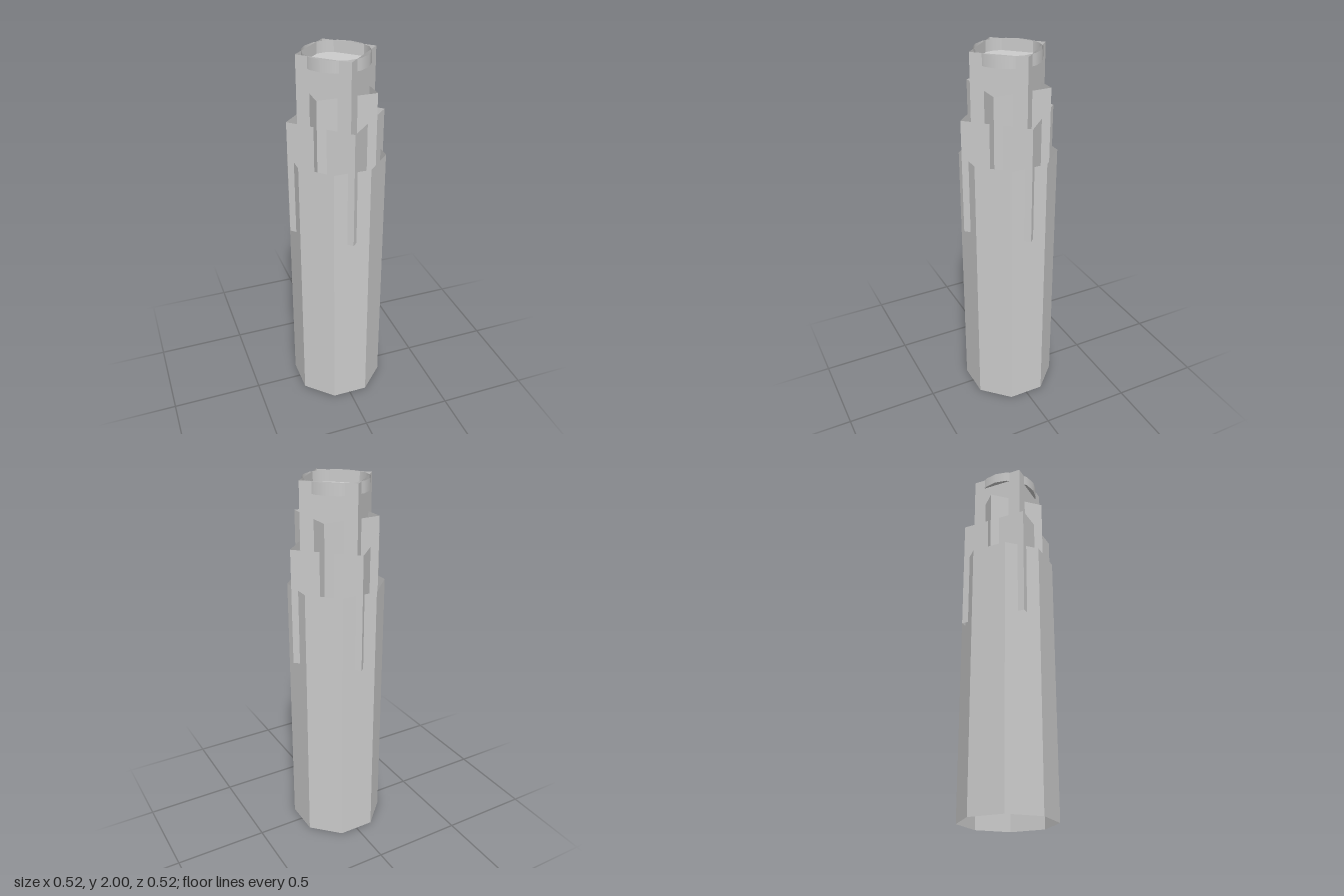
import * as THREE from 'three';

// Nested open tubes: name, sides, corner radius, bottom, top, turn
const TUBES = [
  ['body', 8, 0.256, 0, 1.46, Math.PI / 8],
  ['lowerCollar', 4, 0.262, 1.05, 1.67, 0],
  ['middleCollar', 4, 0.22, 1.26, 1.82, Math.PI / 4],
  ['upperCollar', 4, 0.206, 1.41, 2, 0],
];
const RIM = { sides: 16, radius: 0.17, bottom: 1.94, top: 2 };

function openTube(sides, radius, bottom, top, turn = 0) {
  const geometry = new THREE.CylinderGeometry(radius, radius, top - bottom, sides, 1, true);
  return geometry.rotateY(turn).translate(0, (top + bottom) / 2, 0);
}

export function createModel() {
  const group = new THREE.Group();
  group.name = 'steppedTower';
  const flat = new THREE.MeshStandardMaterial({ color: 0xcccccc, side: THREE.DoubleSide, flatShading: true });
  const smooth = new THREE.MeshStandardMaterial({ color: 0xcccccc, side: THREE.DoubleSide });

  const add = (name, geometry, material) => {
    const mesh = new THREE.Mesh(geometry, material);
    mesh.name = name;
    group.add(mesh);
  };

  // Faceted body and the square collars stepping inward, each turned from the last
  for (const [name, ...size] of TUBES) add(name, openTube(...size), flat);

  // Rounded rim at the top with a recessed floor
  add('rim', openTube(RIM.sides, RIM.radius, RIM.bottom, RIM.top), smooth);
  const floor = new THREE.CircleGeometry(RIM.radius, RIM.sides);
  add('rimFloor', floor.rotateX(-Math.PI / 2).translate(0, RIM.bottom, 0), flat);

  return group;
}
